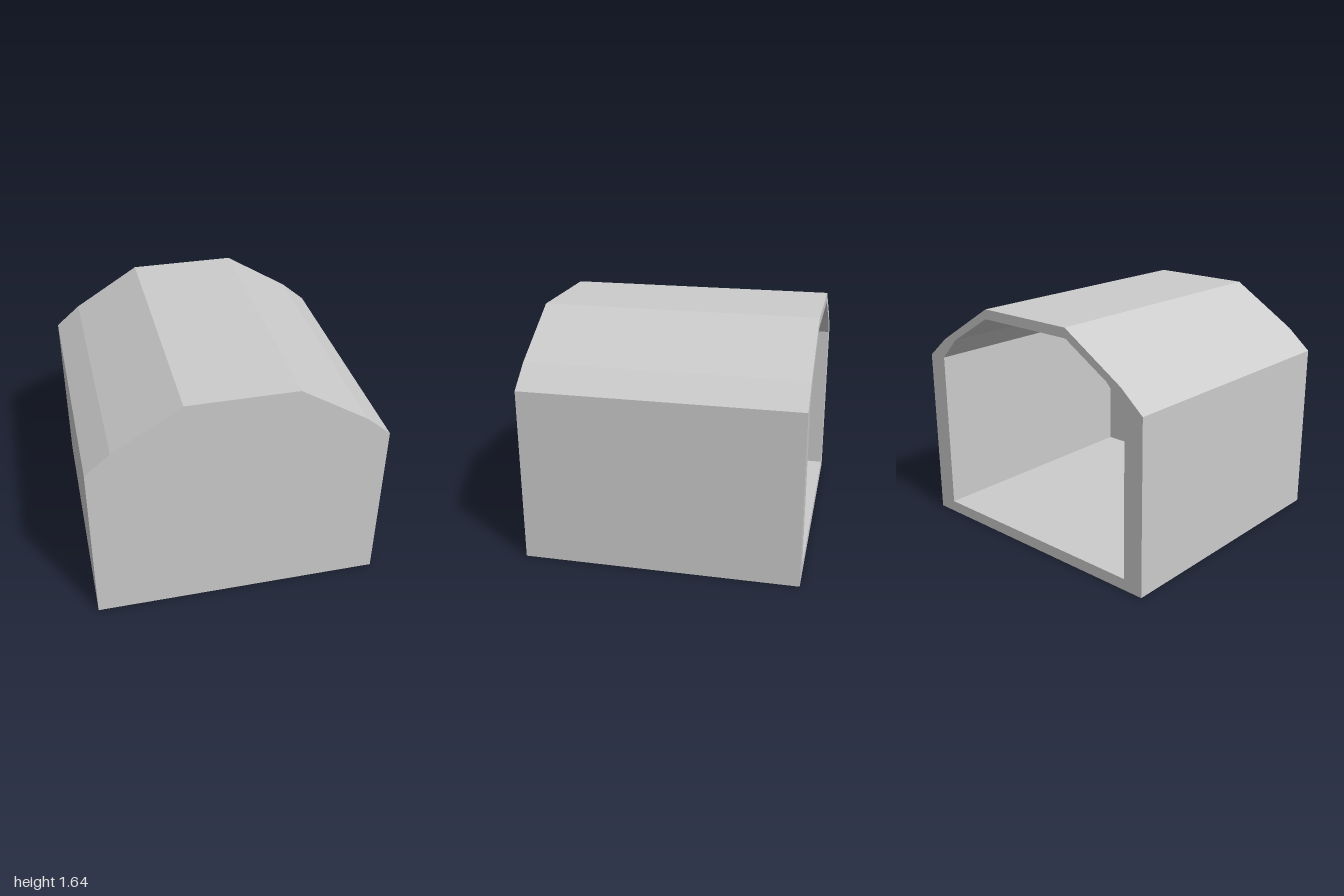
import * as THREE from 'three';

const BACK = -0.945, FRONT = 0.945, INNER_FRONT = 0.825;

// Mirror the right half (bottom to top) into a closed counter-clockwise profile
function profile(half) {
  const right = half.map(([x, y]) => new THREE.Vector2(x, y));
  const left = half.map(([x, y]) => new THREE.Vector2(-x, y)).reverse();
  return [...right, ...left];
}

// Flat-sided band following a closed profile from z0 (back) to z1 (front)
function band(points, z0, z1) {
  const pos = [];
  points.forEach((a, i) => {
    const b = points[(i + 1) % points.length];
    pos.push(a.x, a.y, z1, a.x, a.y, z0, b.x, b.y, z0);
    pos.push(a.x, a.y, z1, b.x, b.y, z0, b.x, b.y, z1);
  });
  const geo = new THREE.BufferGeometry();
  geo.setAttribute('position', new THREE.Float32BufferAttribute(pos, 3));
  geo.computeVertexNormals();
  return geo;
}

// Flat face at depth z, optionally turned to look backwards
function face(points, z, backwards, hole) {
  const shape = new THREE.Shape(points);
  if (hole) shape.holes.push(new THREE.Path(hole));
  const geo = new THREE.ShapeGeometry(shape);
  if (backwards) geo.rotateY(Math.PI);
  return geo.translate(0, 0, z);
}

export function createModel() {
  const group = new THREE.Group();
  group.name = 'shelter';
  const material = new THREE.MeshStandardMaterial({ color: 0xcccccc, flatShading: true });
  const add = (name, geometry) => {
    const mesh = new THREE.Mesh(geometry, material);
    mesh.name = name;
    group.add(mesh);
  };

  const outer = profile([[1, 0], [1, 1.21], [0.83, 1.355], [0.37, 1.64]]);
  const inner = profile([[0.857, 0.08], [0.857, 1.213], [0.715, 1.365], [0.375, 1.572]]);

  // Outside walls, roof and base, closed at the front
  add('outerShell', band(outer, BACK, FRONT));
  add('frontWall', face(outer, FRONT, false));

  // Hollow inside, open at the back
  add('innerLining', band([...inner].reverse(), BACK, INNER_FRONT));
  add('innerFrontWall', face(inner, INNER_FRONT, true));

  // Edge of the walls around the opening
  add('openingRim', face(outer, BACK, true, inner));

  return group;
}
